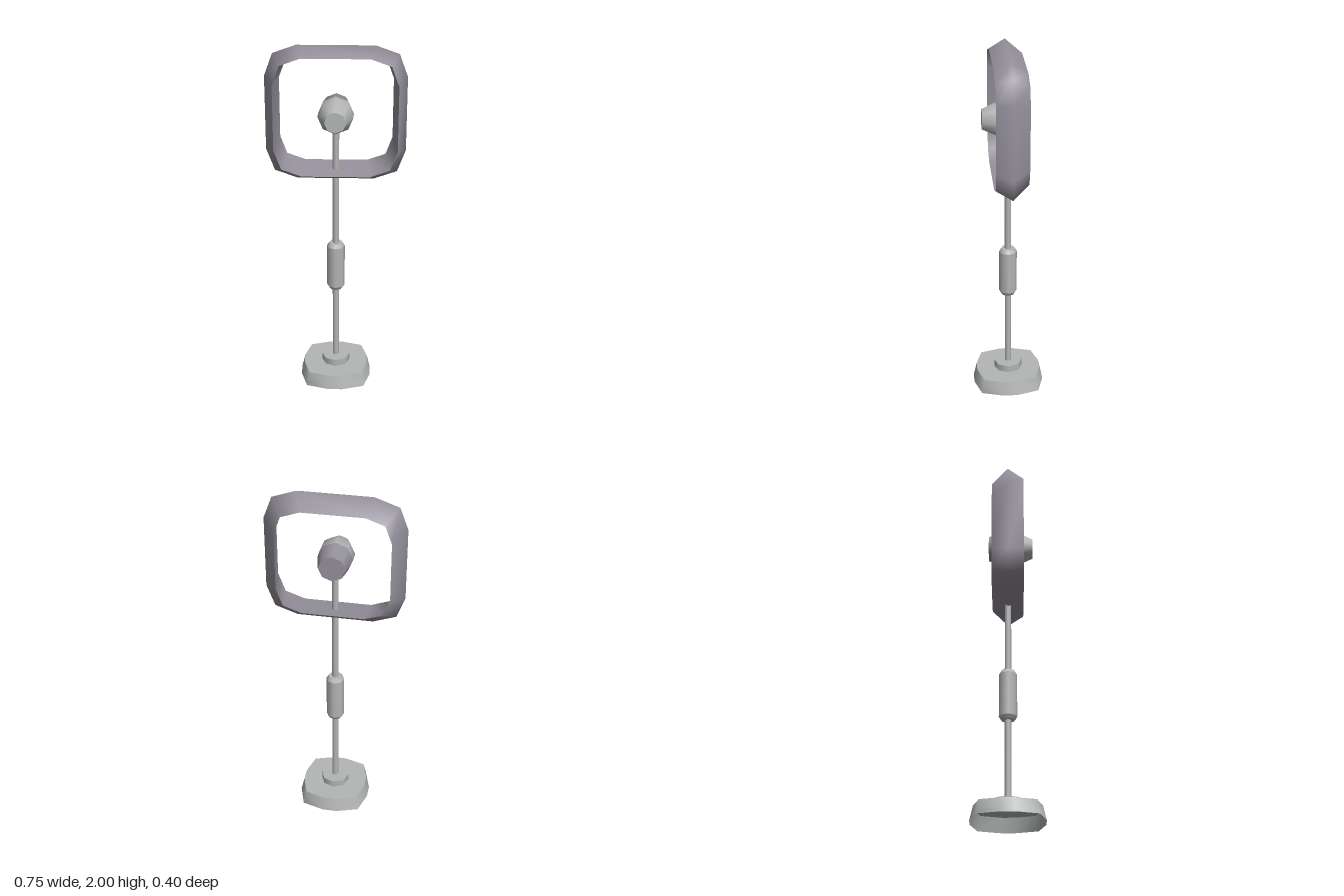
import * as THREE from 'three';

const SIDES = 8;
const CENTER_Y = 1.625;

// Rounded square with two-step corners, counter-clockwise: half size, straight part, corner part
function roundedSquare(half, straight, corner) {
  const points = [];
  for (let q = 0; q < 4; q++) {
    for (const [x, y] of [[1, straight], [corner, corner], [straight, 1]]) {
      points.push(new THREE.Vector2(x * half, y * half)
        .rotateAround(new THREE.Vector2(), q * Math.PI / 2));
    }
  }
  return points;
}

// Smooth skin through rounded squares listed as [half size, z]
function loft(sections, straight, corner) {
  const positions = [], index = [], n = 12;
  for (const [half, z] of sections) {
    for (const p of roundedSquare(half, straight, corner)) positions.push(p.x, p.y, z);
  }
  for (let s = 0; s < sections.length - 1; s++) {
    for (let i = 0; i < n; i++) {
      const j = (i + 1) % n, a = s * n + i, d = s * n + j;
      index.push(a, a + n, d + n, a, d + n, d);
    }
  }
  const geometry = new THREE.BufferGeometry();
  geometry.setAttribute('position', new THREE.Float32BufferAttribute(positions, 3));
  geometry.setIndex(index);
  geometry.computeVertexNormals();
  return geometry;
}

export function createModel() {
  const model = new THREE.Group();
  model.name = 'ringStand';

  const grey = new THREE.MeshStandardMaterial({ color: 0xb4b6b6, side: THREE.DoubleSide });
  grey.name = 'light grey metal';
  const purple = new THREE.MeshStandardMaterial({ color: 0x96919c });
  purple.name = 'purple grey metal';

  function add(parent, name, geometry, material) {
    const mesh = new THREE.Mesh(geometry, material);
    mesh.name = name;
    parent.add(mesh);
    return mesh;
  }
  function group(name) {
    const g = new THREE.Group();
    g.name = name;
    model.add(g);
    return g;
  }
  // Upright eight-sided part between two heights
  function column(parent, name, y0, y1, r0, r1 = r0) {
    const geometry = new THREE.CylinderGeometry(r1, r0, y1 - y0, SIDES);
    add(parent, name, geometry, grey).position.y = (y0 + y1) / 2;
  }

  // Base: hollow foot with a flat top plate, open underneath
  const base = group('base');
  const wall = loft([[0.182, 0.08], [0.2, 0]], 0.2, 0.815);
  add(base, 'baseWall', wall.rotateX(-Math.PI / 2), grey);
  const plate = new THREE.ShapeGeometry(new THREE.Shape(roundedSquare(0.182, 0.2, 0.815)));
  add(base, 'baseTop', plate.rotateX(-Math.PI / 2), grey).position.y = 0.08;
  column(base, 'baseCollar', 0.08, 0.12, 0.08);

  // Pole and its grip with bevelled ends
  column(model, 'pole', 0.12, 1.58, 0.018);
  const grip = group('grip');
  column(grip, 'gripLowerBevel', 0.567, 0.587, 0.038, 0.05);
  column(grip, 'gripBody', 0.587, 0.835, 0.05);
  column(grip, 'gripUpperBevel', 0.835, 0.855, 0.05, 0.038);

  // Ring: ridged outer skin and plain inner skin
  const ring = group('ring');
  ring.position.y = CENTER_Y;
  add(ring, 'ringOuter', loft([[0.33, 0.088], [0.376, 0], [0.305, -0.09]], 0.55, 0.88), purple);
  add(ring, 'ringInner', loft([[0.305, -0.09], [0.33, 0.088]], 0.55, 0.88), purple);

  // Head: tapered grey front and purple back, closed by flat discs
  const head = group('head');
  head.position.y = CENTER_Y;
  function shell(name, profile, material) {
    const points = profile.map(([r, z]) => new THREE.Vector2(r, z));
    add(head, name, new THREE.LatheGeometry(points, SIDES).rotateX(Math.PI / 2), material);
  }
  shell('headFront', [[0.095, 0], [0.095, 0.06], [0.058, 0.14]], grey);
  shell('headBack', [[0.073, -0.11], [0.095, 0]], purple);
  add(head, 'headFrontDisc', new THREE.CircleGeometry(0.058, SIDES), grey).position.z = 0.14;
  const backDisc = new THREE.CircleGeometry(0.073, SIDES).rotateY(Math.PI);
  add(head, 'headBackDisc', backDisc, purple).position.z = -0.11;

  return model;
}
